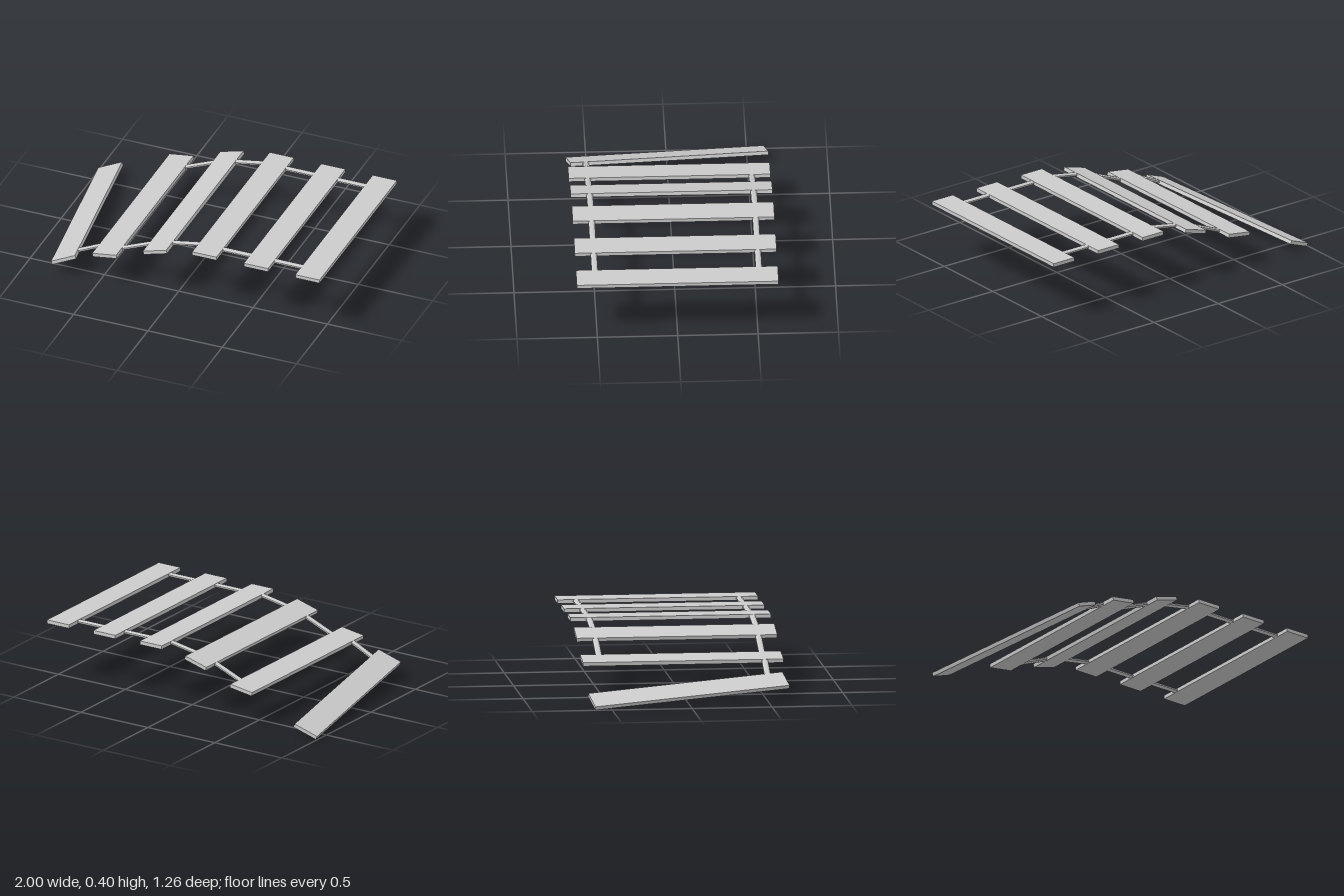
import * as THREE from 'three';

const WIDTH = 0.163, THICK = 0.024, LENGTH = 1.255;
const ROPE_Z = 0.51;

// Planks from the hanging end to the level end: centre, tilt and yaw in degrees
const PLANKS = [
  { x: -0.8235, y: 0.084, tilt: 22.4, yaw: 9.7 },
  { x: -0.4475, y: 0.2265, tilt: 8.5, yaw: 0 },
  { x: -0.1075, y: 0.335, tilt: 15.7, yaw: 0 },
  { x: 0.225, y: 0.388, tilt: 0, yaw: 0 },
  { x: 0.572, y: 0.388, tilt: 0, yaw: 0 },
  { x: 0.9185, y: 0.388, tilt: 0, yaw: 0 },
];

export function createModel() {
  const group = new THREE.Group();
  group.name = 'brokenPlankBridge';
  const material = new THREE.MeshStandardMaterial({ color: 0xcccccc, flatShading: true });

  // Planks: yawed in their own plane, then tilted along the bridge
  const plankGeometry = new THREE.BoxGeometry(WIDTH, THICK, LENGTH);
  const planks = PLANKS.map(({ x, y, tilt, yaw }, i) => {
    const plank = new THREE.Mesh(plankGeometry, material);
    plank.name = `plank${i + 1}`;
    plank.position.set(x, y, 0);
    plank.rotation.set(0, THREE.MathUtils.degToRad(yaw), THREE.MathUtils.degToRad(tilt), 'ZYX');
    plank.updateMatrix();
    group.add(plank);
    return plank;
  });

  // Point on a plank's long edge (side -1 or +1) where a rope at depth z meets it
  const edgePoint = (plank, side, z) => {
    const a = new THREE.Vector3(side * WIDTH / 2, 0, -LENGTH / 2).applyMatrix4(plank.matrix);
    const b = new THREE.Vector3(side * WIDTH / 2, 0, LENGTH / 2).applyMatrix4(plank.matrix);
    return a.lerp(b, (z - a.z) / (b.z - a.z));
  };

  // Flattened eight-sided rope lying along x, one unit long
  const ropeGeometry = new THREE.CylinderGeometry(1, 1, 1, 8)
    .rotateY(Math.PI / 8)
    .rotateZ(Math.PI / 2)
    .scale(1, 0.0115 / Math.cos(Math.PI / 8), 0.0195 / Math.cos(Math.PI / 8));

  // Rope pieces in every gap; the back one next to the fallen plank has snapped off
  for (let i = 0; i < planks.length - 1; i++) {
    for (const z of [ROPE_Z, -ROPE_Z]) {
      if (i === 0 && z < 0) continue;
      const start = edgePoint(planks[i], 1, z);
      const end = edgePoint(planks[i + 1], -1, z);
      const rope = new THREE.Mesh(ropeGeometry, material);
      rope.name = `${z > 0 ? 'front' : 'back'}Rope${i + 1}`;
      rope.position.copy(start).add(end).multiplyScalar(0.5);
      rope.rotation.z = Math.atan2(end.y - start.y, end.x - start.x);
      rope.scale.x = start.distanceTo(end) + 0.012;
      group.add(rope);
    }
  }
  return group;
}
